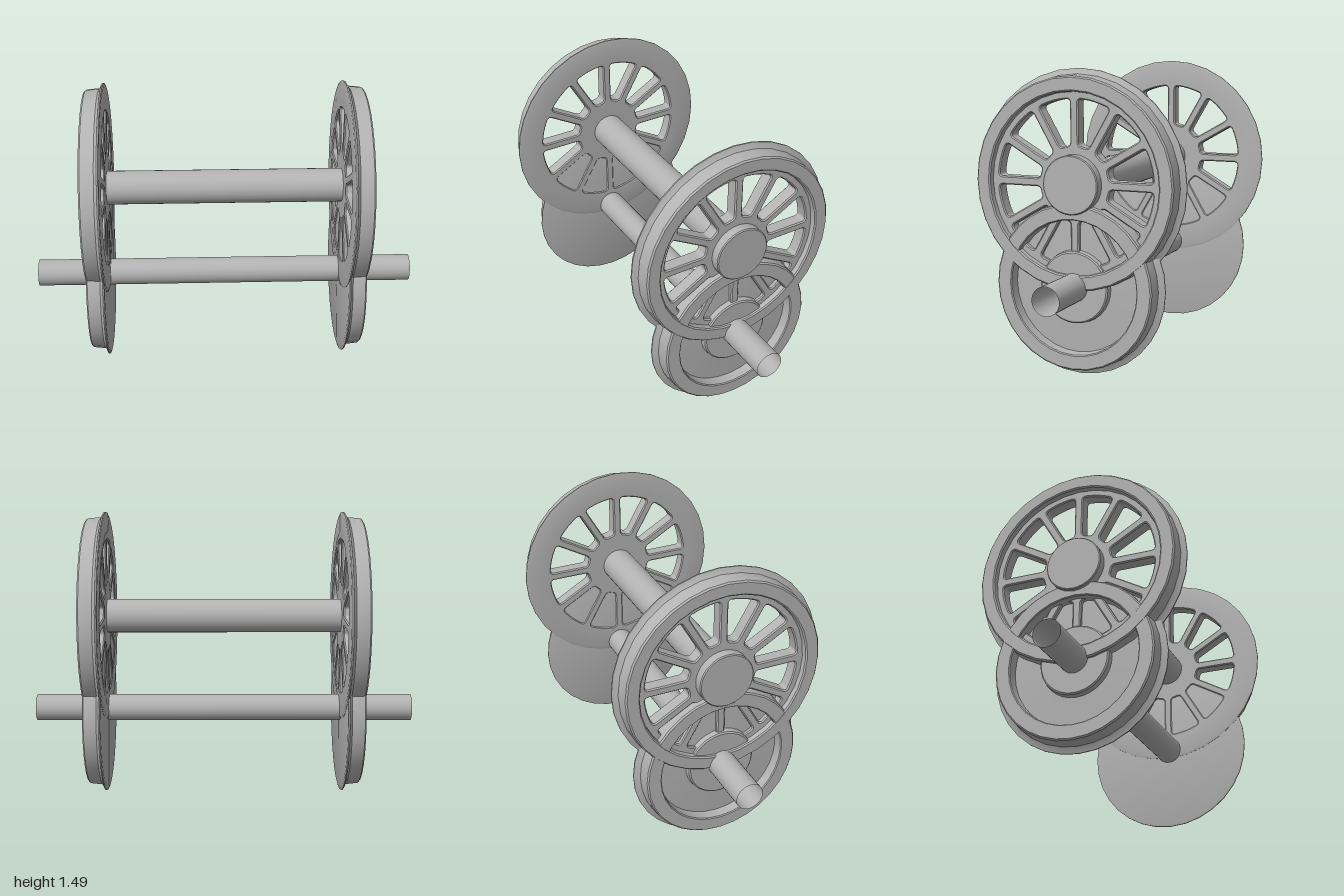
import * as THREE from 'three';
import { toCreasedNormals } from 'three/addons/utils/BufferGeometryUtils.js';

const steel = new THREE.MeshStandardMaterial({ color: 0xb3b3b3 });
steel.name = 'steel grey';
const tubeSteel = steel.clone();
tubeSteel.side = THREE.DoubleSide;

const BIG_Y = 0.947, SMALL_Y = 0.448;

function part(name, geometry, material = steel) {
  const mesh = new THREE.Mesh(geometry, material);
  mesh.name = name;
  return mesh;
}

// Profile of [radius, x] pairs turned about the axle line (x axis)
function turned(profile, segments = 32) {
  const geo = new THREE.LatheGeometry(profile.map(([r, x]) => new THREE.Vector2(r, x)), segments);
  geo.rotateZ(-Math.PI / 2);
  return toCreasedNormals(geo, 0.4);
}

// Rounded opening between two neighbouring spokes
function spokeWindow(a0, a1, r0, r1, half, c) {
  const path = new THREE.Path();
  const polar = (r, a) => [r * Math.cos(a), r * Math.sin(a)];
  const edge = (r, s) => polar(r, s > 0 ? a0 + Math.asin(half / r) : a1 - Math.asin(half / r));
  const along = (r, s) => polar(r, s > 0 ? a0 + Math.asin(half / r) + c / r : a1 - Math.asin(half / r) - c / r);
  const arc = (r, s) => {
    const inset = Math.asin(half / r) + c / r;
    const from = s > 0 ? a0 + inset : a1 - inset;
    const to = s > 0 ? a1 - inset : a0 + inset;
    for (let i = 1; i <= 4; i++) path.lineTo(...polar(r, from + (to - from) * i / 4));
  };
  path.moveTo(...edge(r0 + c, 1));
  path.lineTo(...edge(r1 - c, 1));
  path.quadraticCurveTo(...edge(r1, 1), ...along(r1, 1));
  arc(r1, 1);
  path.quadraticCurveTo(...edge(r1, -1), ...edge(r1 - c, -1));
  path.lineTo(...edge(r0 + c, -1));
  path.quadraticCurveTo(...edge(r0, -1), ...along(r0, -1));
  arc(r0, -1);
  path.quadraticCurveTo(...edge(r0, 1), ...edge(r0 + c, 1));
  return path;
}

// Large wheel: flanged tyre, twelve-spoke centre and raised hub
function spokedWheel() {
  const wheel = new THREE.Group();
  wheel.name = 'spokedWheel';
  wheel.add(part('tyre', turned([
    [0.43, 0.613], [0.532, 0.613], [0.545, 0.617], [0.545, 0.624], [0.528, 0.632], [0.518, 0.64],
    [0.512, 0.708], [0.505, 0.716], [0.447, 0.716], [0.44, 0.71], [0.436, 0.68], [0.43, 0.613]])));

  const disc = new THREE.Shape().absarc(0, 0, 0.445, 0, Math.PI * 2);
  const step = Math.PI / 6;
  for (let i = 0; i < 12; i++)
    disc.holes.push(spokeWindow(i * step, (i + 1) * step, 0.183, 0.403, 0.021, 0.02));
  const bevel = 0.006;
  const centre = new THREE.ExtrudeGeometry(disc, {
    depth: 0.072 - 2 * bevel, curveSegments: 16,
    bevelThickness: bevel, bevelSize: bevel, bevelOffset: -bevel, bevelSegments: 1 });
  centre.translate(0, 0, 0.613 + bevel);
  centre.rotateY(Math.PI / 2);
  wheel.add(part('spokes', centre));

  wheel.add(part('hub', turned([[0.142, 0.68], [0.142, 0.73], [0.137, 0.735], [0, 0.735]])));
  wheel.position.y = BIG_Y;
  return wheel;
}

// Small wheel: one solid dished disc with a flange and hub
function solidWheel() {
  const wheel = part('solidWheel', turned([
    [0, 0.618], [0.43, 0.618], [0.443, 0.622], [0.443, 0.628], [0.424, 0.636], [0.413, 0.643],
    [0.406, 0.708], [0.399, 0.715], [0.335, 0.715], [0.33, 0.71], [0.326, 0.66],
    [0.18, 0.667], [0.176, 0.694], [0.169, 0.7], [0, 0.7]]));
  wheel.position.y = SMALL_Y;
  return wheel;
}

function axle(name, radius, length, y) {
  const geo = new THREE.CylinderGeometry(radius, radius, length, 32, 1, true);
  geo.rotateZ(Math.PI / 2);
  const mesh = part(name, geo, tubeSteel);
  mesh.position.y = y;
  return mesh;
}

export function createModel() {
  const model = new THREE.Group();
  model.name = 'wheelSets';
  // The same pair of wheels on each side
  for (const side of ['left', 'right']) {
    const pair = new THREE.Group();
    pair.name = side + 'Wheels';
    pair.add(spokedWheel(), solidWheel());
    if (side === 'right') pair.rotation.y = Math.PI;
    model.add(pair);
  }
  model.add(axle('upperAxle', 0.088, 1.25, BIG_Y), axle('lowerAxle', 0.07, 2, SMALL_Y));
  return model;
}
